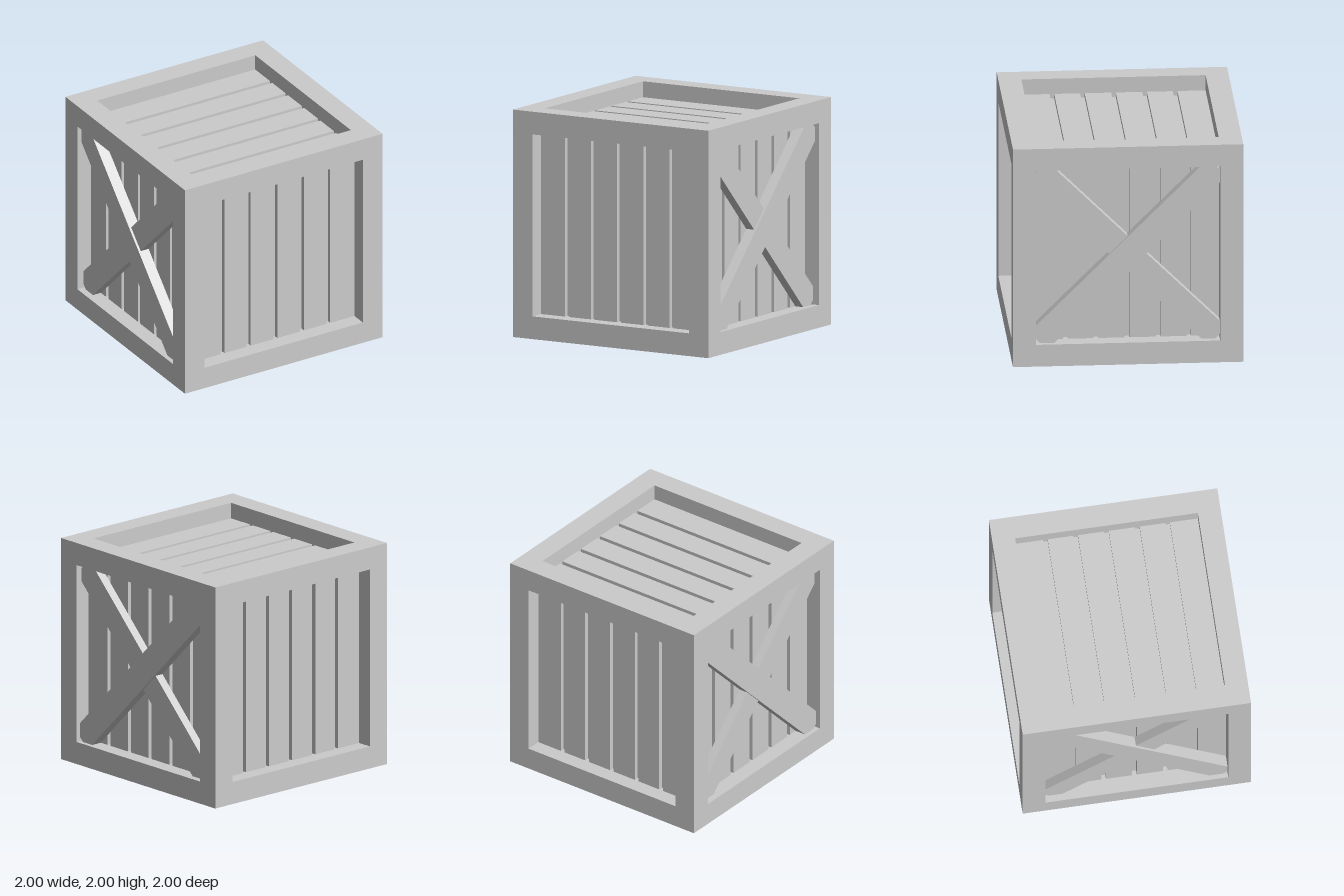
import * as THREE from 'three';

const material = new THREE.MeshStandardMaterial({ color: 0xcccccc, flatShading: true });

function addBox(parent, name, size, position) {
  const mesh = new THREE.Mesh(new THREE.BoxGeometry(...size), material);
  mesh.name = name;
  mesh.position.set(...position);
  parent.add(mesh);
  return mesh;
}

const BEAM = 0.2;    // frame beam thickness
const INNER = 0.8;   // half width of each opening
const CORE = 0.82;   // half size of the board behind the slats
const SLAT = 0.86;   // outer face of the slats
const GAP = 0.04;
const gapCentres = [-0.535, -0.27, 0, 0.27, 0.535];

// One recessed wall of slats, facing +z with the slats upright
function createPanel(name) {
  const panel = new THREE.Group();
  panel.name = name;
  const starts = [-INNER, ...gapCentres.map((c) => c + GAP / 2)];
  const ends = [...gapCentres.map((c) => c - GAP / 2), INNER];
  starts.forEach((start, i) => {
    addBox(panel, 'slat', [ends[i] - start, 2 * INNER, SLAT - CORE],
      [(start + ends[i]) / 2, 0, (SLAT + CORE) / 2]);
  });
  return panel;
}

// Crossed diagonal braces; the outer one lies slightly proud of the other
function addBraces(panel, slope) {
  const length = 2 * 0.78 * Math.SQRT2;
  const width = 0.32 / Math.SQRT2;
  [['outerBrace', slope, 0.96], ['innerBrace', -slope, 0.94]].forEach(([name, sign, face]) => {
    const brace = addBox(panel, name, [length, width, face - SLAT], [0, 0, (face + SLAT) / 2]);
    brace.rotation.z = sign * Math.PI / 4;
  });
}

export function createModel() {
  const model = new THREE.Group();
  model.name = 'crate';
  const body = new THREE.Group();
  body.name = 'crateBody';
  body.position.y = 1;
  model.add(body);

  // Frame: four posts with rails between them
  const mid = 1 - BEAM / 2;
  for (const a of [-mid, mid]) {
    for (const b of [-mid, mid]) {
      addBox(body, 'cornerPost', [BEAM, 2, BEAM], [a, 0, b]);
      addBox(body, 'crossRail', [2 * INNER, BEAM, BEAM], [0, a, b]);
      addBox(body, 'sideRail', [BEAM, BEAM, 2 * INNER], [a, b, 0]);
    }
  }

  // Board seen through the gaps between the slats
  addBox(body, 'innerBox', [2 * CORE, 2 * CORE, 2 * CORE], [0, 0, 0]);

  // Upright walls, with braces on the left and right
  const quarter = Math.PI / 2;
  [['frontPanel', 0, 0], ['leftPanel', 1, 1], ['backPanel', 2, 0], ['rightPanel', -1, -1]]
    .forEach(([name, turns, slope]) => {
      const panel = createPanel(name);
      panel.rotation.y = turns * quarter;
      if (slope) addBraces(panel, slope);
      body.add(panel);
    });

  // Lid and base, with slats running along x
  [['topPanel', -1], ['bottomPanel', 1]].forEach(([name, turn]) => {
    const panel = createPanel(name);
    panel.rotation.set(turn * quarter, 0, quarter);
    body.add(panel);
  });

  return model;
}
